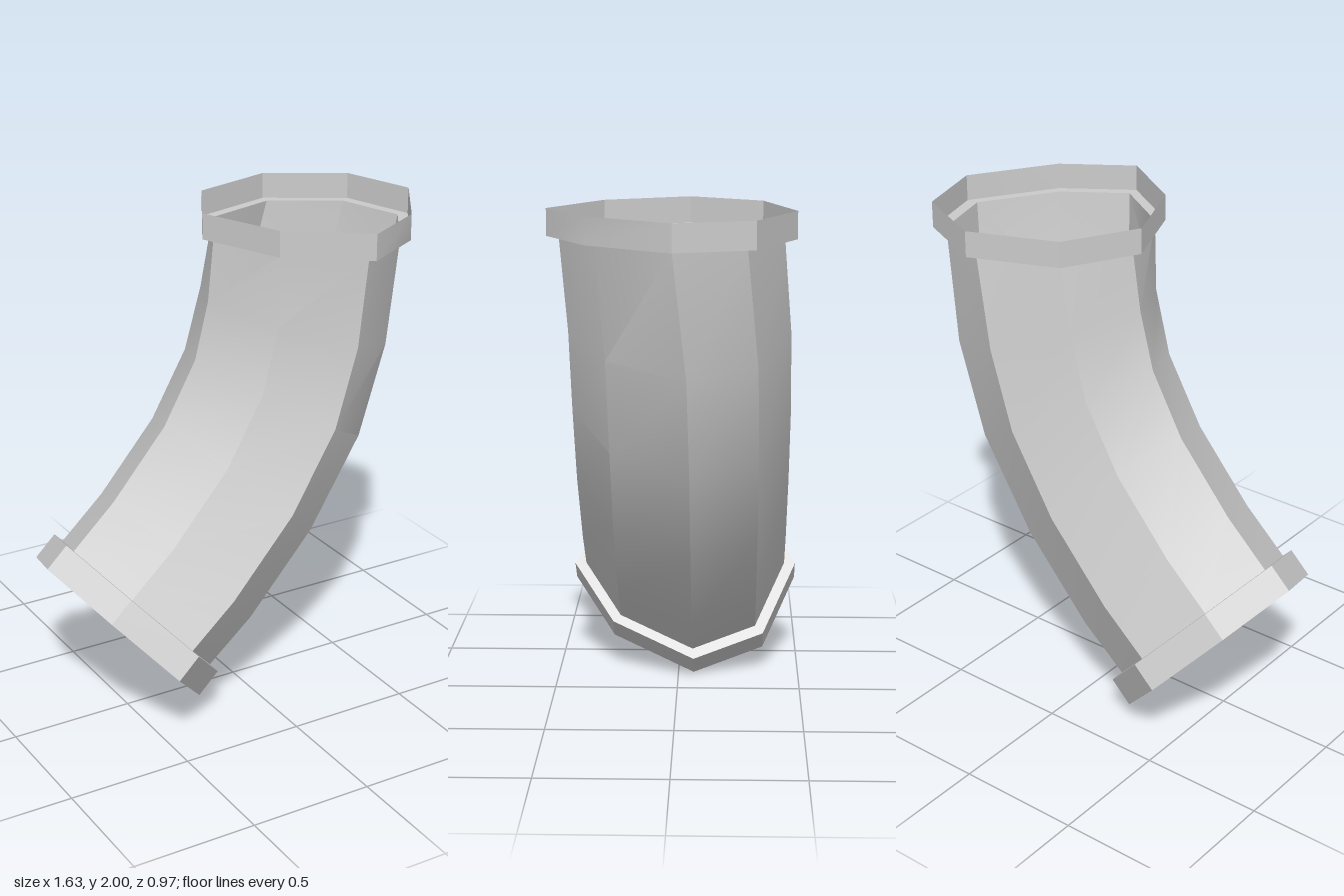
import * as THREE from 'three';
import { toCreasedNormals } from 'three/addons/utils/BufferGeometryUtils.js';

// Eight-sided cross-sections: [fraction from inner to outer bend, z]
const LOW = [[0, -0.035], [0.15, -0.31], [0.51, -0.445], [0.87, -0.32], [1, -0.06], [0.815, 0.245], [0.515, 0.4], [0.187, 0.25]];
const HIGH = [[0, -0.045], [0.173, -0.3], [0.56, -0.41], [0.9, -0.27], [1, 0], [0.77, 0.287], [0.475, 0.435], [0.152, 0.255]];

const lerp = THREE.MathUtils.lerp;

// One ring between an inner-bend point and an outer-bend point; twist blends LOW into HIGH
function ring(inner, outer, twist, widen = 1) {
  const mid = lerp(-0.025, 0.01, twist);
  return LOW.map(([u, z], i) => {
    const f = lerp(u, HIGH[i][0], twist);
    const w = lerp(z, HIGH[i][1], twist);
    return [lerp(inner[0], outer[0], f), lerp(inner[1], outer[1], f), mid + (w - mid) * widen];
  });
}

// Joins successive rings with quads
function loft(rings) {
  const n = LOW.length;
  const index = [];
  for (let i = 0; i < rings.length - 1; i++) {
    for (let j = 0; j < n; j++) {
      const a = i * n + j, b = i * n + (j + 1) % n;
      index.push(a, a + n, b, b, a + n, b + n);
    }
  }
  const geometry = new THREE.BufferGeometry();
  geometry.setAttribute('position', new THREE.Float32BufferAttribute(rings.flat(2), 3));
  geometry.setIndex(index);
  return toCreasedNormals(geometry, Math.PI / 6);
}

export function createModel() {
  const group = new THREE.Group();
  group.name = 'bentPipe';
  const material = new THREE.MeshStandardMaterial({ color: 0xcccccc, side: THREE.DoubleSide });
  const add = (name, rings) => {
    const mesh = new THREE.Mesh(loft(rings), material);
    mesh.name = name;
    group.add(mesh);
  };

  // Curved open tube: inner bend point, outer bend point, twist
  const tube = [
    [[-0.7, 0.73], [-0.15, 0.12], 0],
    [[-0.52, 0.9], [0.04, 0.28], 0],
    [[-0.29, 1.17], [0.33, 0.61], 0],
    [[-0.15, 1.42], [0.57, 1.0], 0],
    [[-0.09, 1.65], [0.7, 1.4], 0.15],
    [[-0.06, 1.895], [0.765, 1.877], 1],
  ].map((s) => ring(...s));
  add('pipe', tube);

  // Open collars: a flat step out from the pipe, then a thin wall
  add('lowerCollar', [
    ring([-0.815, 0.68], [-0.205, 0], 0, 1.11),
    ring([-0.73, 0.762], [-0.12, 0.085], 0, 1.11),
    tube[0],
  ]);
  add('upperCollar', [
    tube[5],
    ring([-0.105, 1.897], [0.815, 1.875], 1, 1.11),
    ring([-0.105, 2], [0.815, 1.98], 1, 1.11),
  ]);
  return group;
}
